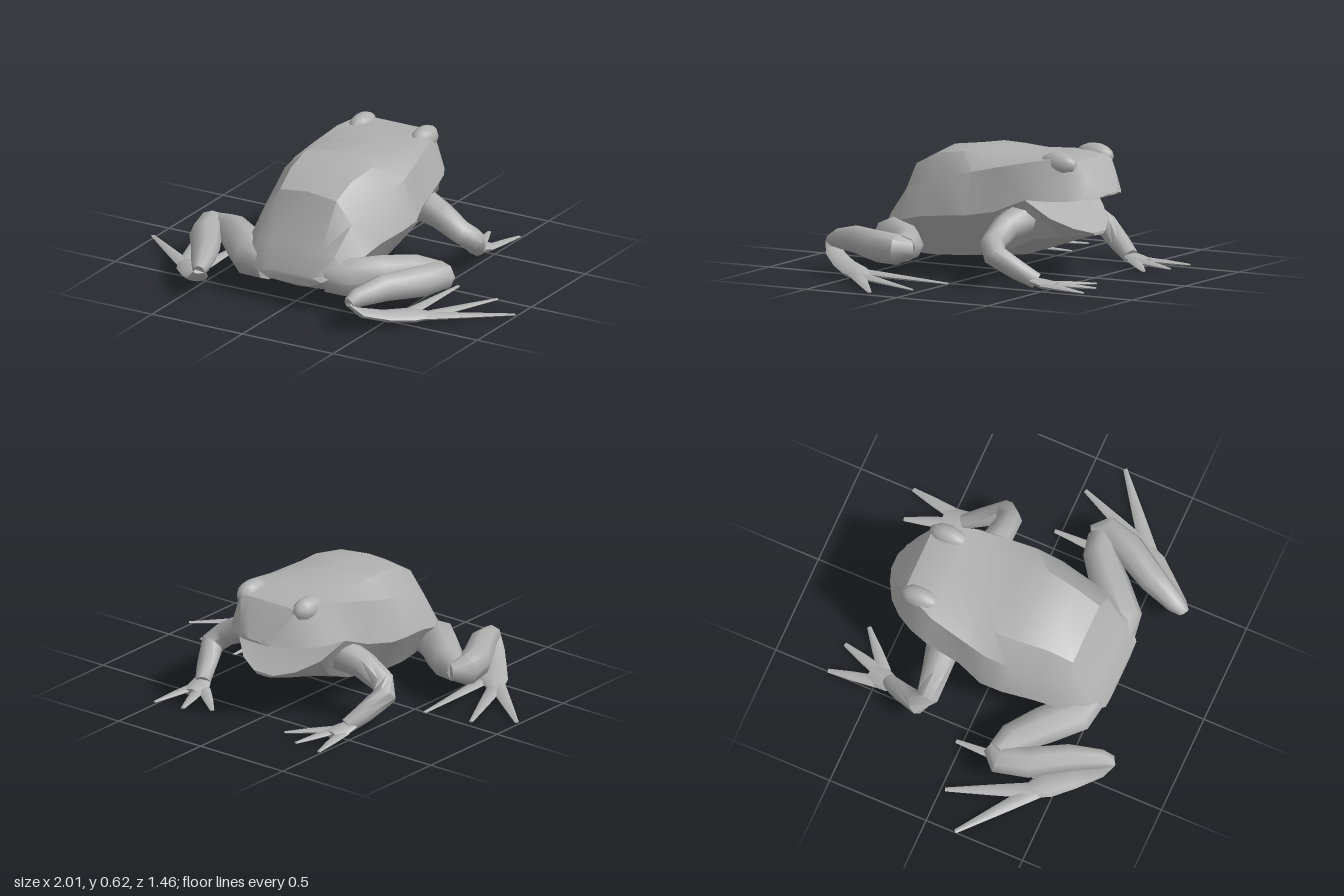
import * as THREE from 'three';
import { toCreasedNormals } from 'three/addons/utils/BufferGeometryUtils.js';

// Triangles joining a row of rings, with optional end caps
function skin(rings, capStart = true, capEnd = true) {
  const out = [];
  const tri = (...pts) => pts.forEach((p) => out.push(p.x, p.y, p.z));
  const n = rings[0].length;
  for (let i = 0; i < rings.length - 1; i++) {
    for (let j = 0; j < n; j++) {
      const k = (j + 1) % n;
      const [a, b] = [rings[i], rings[i + 1]];
      tri(a[j], a[k], b[k]);
      tri(a[j], b[k], b[j]);
    }
  }
  const cap = (ring, flip) => {
    const c = ring.reduce((s, p) => s.add(p), new THREE.Vector3()).divideScalar(n);
    for (let j = 0; j < n; j++) {
      const k = (j + 1) % n;
      if (flip) tri(c, ring[k], ring[j]);
      else tri(c, ring[j], ring[k]);
    }
  };
  if (capStart) cap(rings[0], true);
  if (capEnd) cap(rings[rings.length - 1], false);
  return out;
}

function toGeometry(positions, crease) {
  const g = new THREE.BufferGeometry();
  g.setAttribute('position', new THREE.Float32BufferAttribute(positions, 3));
  return toCreasedNormals(g, crease);
}

// Mirrored cross-section: z, top y, ridge x y, side x y, lower x y, bottom y
function section([z, yt, xr, yr, xs, ys, xl, yl, yb]) {
  const half = [[xr * 0.65, yt * 0.85 + yr * 0.15], [xr, yr], [xs, ys], [xl, yl]];
  const left = half.map(([x, y]) => new THREE.Vector3(x, y, z));
  const right = half.map(([x, y]) => new THREE.Vector3(-x, y, z)).reverse();
  return [new THREE.Vector3(0, yt, z), ...left, new THREE.Vector3(0, yb, z), ...right];
}

// Tapered limb along points [x, y, z, radius]; flat squashes its height
function limb(path, side, flat = 1, sides = 8) {
  const pts = path.map(([x, y, z]) => new THREE.Vector3(x * side, y, z));
  const up = new THREE.Vector3(0, 1, 0);
  const rings = pts.map((p, i) => {
    const dir = new THREE.Vector3();
    if (i > 0) dir.add(p.clone().sub(pts[i - 1]).normalize());
    if (i < pts.length - 1) dir.add(pts[i + 1].clone().sub(p).normalize());
    dir.normalize();
    const across = up.clone().cross(dir).normalize();
    const over = dir.clone().cross(across);
    const r = path[i][3];
    return Array.from({ length: sides }, (_, j) => {
      const a = (j / sides) * Math.PI * 2;
      return p.clone()
        .addScaledVector(across, r * Math.cos(a))
        .addScaledVector(over, r * flat * Math.sin(a));
    });
  });
  return toGeometry(skin(rings), 0.95);
}

// Trunk, from the rump to the corners of the mouth
const TRUNK = [
  [0.57, 0.17, 0.13, 0.165, 0.18, 0.15, 0.11, 0.12, 0.12],
  [0.50, 0.28, 0.21, 0.26, 0.26, 0.20, 0.15, 0.09, 0.08],
  [0.39, 0.52, 0.24, 0.40, 0.31, 0.25, 0.18, 0.08, 0.065],
  [0.27, 0.585, 0.26, 0.445, 0.33, 0.28, 0.20, 0.08, 0.06],
  [0.11, 0.605, 0.295, 0.49, 0.36, 0.30, 0.21, 0.09, 0.065],
  [0.00, 0.597, 0.30, 0.51, 0.365, 0.31, 0.21, 0.11, 0.07],
  [-0.13, 0.583, 0.28, 0.54, 0.32, 0.33, 0.20, 0.13, 0.085],
  [-0.30, 0.59, 0.25, 0.575, 0.315, 0.40, 0.22, 0.20, 0.14],
];
// Upper head, flat underneath as the roof of the mouth
const HEAD = [
  [-0.30, 0.59, 0.25, 0.575, 0.315, 0.40, 0.20, 0.40, 0.40],
  [-0.40, 0.59, 0.21, 0.59, 0.28, 0.395, 0.17, 0.40, 0.40],
  [-0.48, 0.575, 0.175, 0.575, 0.235, 0.395, 0.14, 0.40, 0.40],
  [-0.54, 0.51, 0.13, 0.50, 0.18, 0.40, 0.11, 0.40, 0.40],
  [-0.585, 0.445, 0.07, 0.44, 0.10, 0.405, 0.06, 0.402, 0.402],
  [-0.605, 0.42, 0.03, 0.42, 0.04, 0.415, 0.02, 0.41, 0.41],
];
// Lower jaw, sloping down from the corners of the mouth
const JAW = [
  [-0.30, 0.40, 0.20, 0.40, 0.315, 0.40, 0.22, 0.20, 0.14],
  [-0.40, 0.305, 0.16, 0.305, 0.25, 0.31, 0.16, 0.21, 0.175],
  [-0.48, 0.25, 0.10, 0.25, 0.16, 0.255, 0.11, 0.215, 0.20],
  [-0.525, 0.225, 0.04, 0.225, 0.06, 0.225, 0.04, 0.212, 0.21],
];

export function createModel() {
  const model = new THREE.Group();
  model.name = 'frog';
  const grey = new THREE.MeshStandardMaterial({ color: 0xb0b0b0 });
  grey.name = 'plain grey';
  const add = (parent, name, geometry) => {
    const mesh = new THREE.Mesh(geometry, grey);
    mesh.name = name;
    parent.add(mesh);
    return mesh;
  };

  add(model, 'body', toGeometry([
    ...skin(TRUNK.map(section), true, false),
    ...skin(HEAD.map(section), false, true),
    ...skin(JAW.map(section), false, true),
  ], 0.62));

  for (const s of [1, -1]) {
    const label = s > 0 ? 'left' : 'right';

    // Eye bump
    const eye = add(model, label + 'Eye', new THREE.SphereGeometry(1, 10, 8));
    eye.scale.set(0.055, 0.06, 0.1);
    eye.position.set(s * 0.17, 0.56, -0.4);

    // Folded hind leg
    const hind = new THREE.Group();
    hind.name = label + 'HindLeg';
    model.add(hind);
    add(hind, 'thigh', limb([
      [0.16, 0.15, 0.48, 0.08], [0.27, 0.155, 0.45, 0.1], [0.39, 0.165, 0.34, 0.095],
      [0.51, 0.17, 0.235, 0.08], [0.60, 0.165, 0.205, 0.065]], s));
    add(hind, 'shin', limb([
      [0.59, 0.165, 0.155, 0.04], [0.63, 0.165, 0.22, 0.075], [0.59, 0.165, 0.35, 0.078],
      [0.49, 0.17, 0.52, 0.068], [0.43, 0.155, 0.66, 0.048], [0.415, 0.14, 0.71, 0.03]], s));
    add(hind, 'foot', limb([
      [0.41, 0.14, 0.71, 0.03], [0.45, 0.085, 0.66, 0.05], [0.53, 0.05, 0.56, 0.06],
      [0.61, 0.035, 0.455, 0.07], [0.68, 0.028, 0.385, 0.035]], s, 0.4));
    const hindToes = [
      [0.65, 0.43, 1.0, 0.15], [0.66, 0.42, 0.825, 0.02], [0.57, 0.47, 0.58, -0.03]];
    hindToes.forEach(([x, z, tx, tz], i) => add(hind, 'hindToe' + (i + 1), limb([
      [x, 0.03, z, 0.042], [(x + tx) / 2, 0.022, (z + tz) / 2, 0.027],
      [tx, 0.014, tz, 0.01]], s, 0.4, 6)));

    // Bent front leg
    const front = new THREE.Group();
    front.name = label + 'FrontLeg';
    model.add(front);
    add(front, 'arm', limb([
      [0.24, 0.30, -0.24, 0.085], [0.37, 0.265, -0.225, 0.068], [0.48, 0.205, -0.22, 0.06],
      [0.525, 0.16, -0.26, 0.058], [0.48, 0.09, -0.36, 0.048], [0.44, 0.04, -0.44, 0.038]], s));
    add(front, 'hand', limb([
      [0.455, 0.045, -0.42, 0.042], [0.435, 0.028, -0.48, 0.058],
      [0.425, 0.02, -0.54, 0.048]], s, 0.4));
    const frontToes = [
      [0.40, -0.48, 0.22, -0.64], [0.41, -0.50, 0.345, -0.71], [0.46, -0.49, 0.50, -0.73]];
    frontToes.forEach(([x, z, tx, tz], i) => add(front, 'frontToe' + (i + 1), limb([
      [x, 0.025, z, 0.032], [(x + tx) / 2, 0.02, (z + tz) / 2, 0.024],
      [tx, 0.014, tz, 0.01]], s, 0.45, 6)));
  }
  return model;
}
